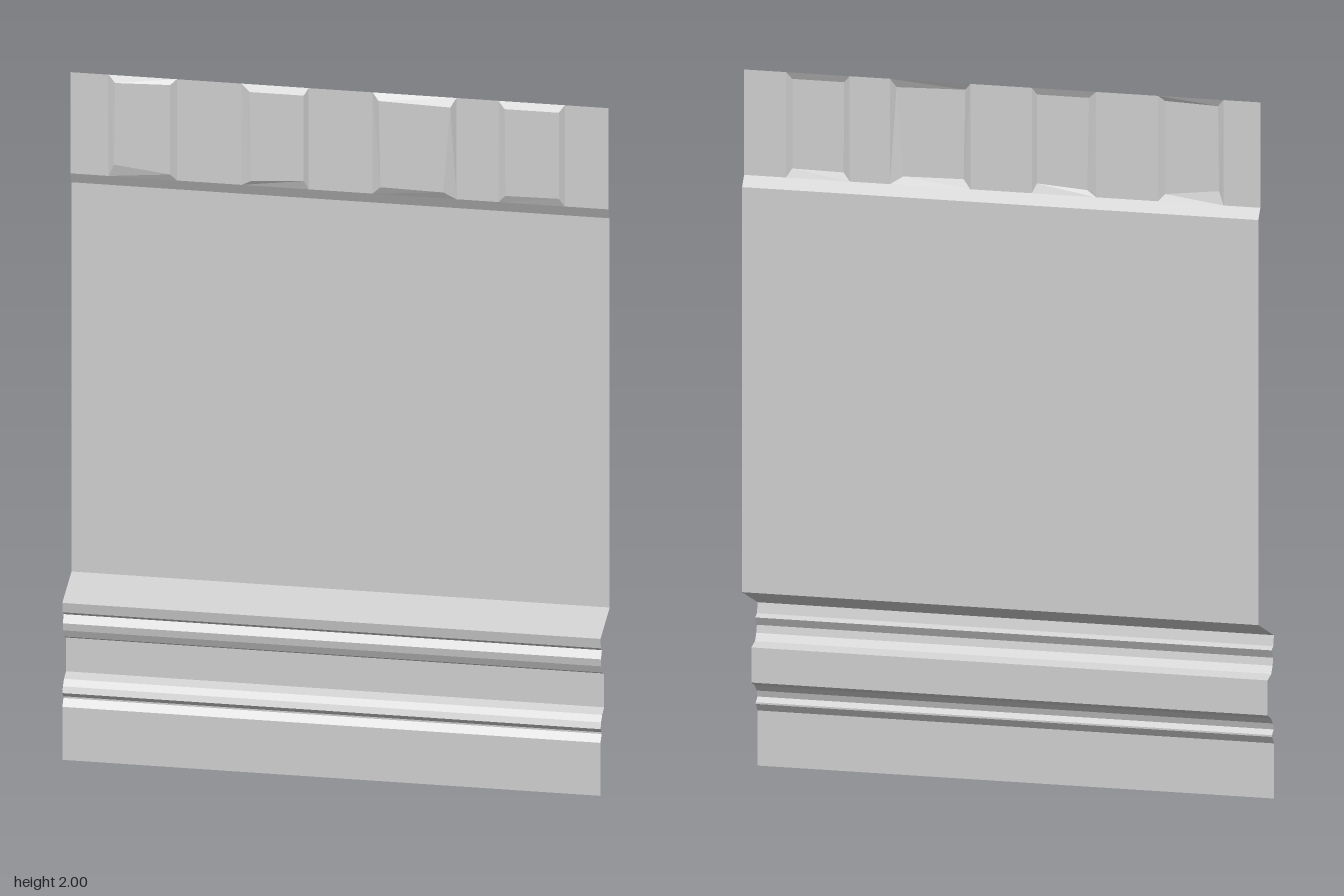
import * as THREE from 'three';

const HALF = 0.77;
const BAND_Z = -0.049, BAND_LOW = 1.7, TOP = 2;

// Open thin sheet, so both sides show
const material = new THREE.MeshStandardMaterial({
  color: 0xcccccc, flatShading: true, side: THREE.DoubleSide,
});

// Mesh from four-cornered faces, corners counter-clockwise from the front
function quadMesh(name, quads) {
  const positions = [];
  for (const [a, b, c, d] of quads) {
    for (const p of [a, b, c, a, c, d]) positions.push(...p);
  }
  const geometry = new THREE.BufferGeometry();
  geometry.setAttribute('position', new THREE.Float32BufferAttribute(positions, 3));
  geometry.computeVertexNormals();
  const mesh = new THREE.Mesh(geometry, material);
  mesh.name = name;
  return mesh;
}

// Sweep a [y, z] profile, listed upward, across the full width
function sweep(name, profile) {
  const quads = [];
  for (let i = 0; i + 1 < profile.length; i++) {
    const [y0, z0] = profile[i], [y1, z1] = profile[i + 1];
    quads.push([[-HALF, y0, z0], [HALF, y0, z0], [HALF, y1, z1], [-HALF, y1, z1]]);
  }
  return quadMesh(name, quads);
}

// Flat stretch of the top band between raised blocks
function bandQuad(x0, x1) {
  return [[x0, BAND_LOW, BAND_Z], [x1, BAND_LOW, BAND_Z], [x1, TOP, BAND_Z], [x0, TOP, BAND_Z]];
}

// Raised block: bevelled sides around a flat face, hollow behind
function block({ x0, x1, z, face }) {
  const outer = bandQuad(x0, x1);
  const inner = face.map(([x, y]) => [x, y, z]);
  const quads = [inner];
  for (let i = 0; i < 4; i++) {
    const j = (i + 1) % 4;
    quads.push([outer[i], outer[j], inner[j], inner[i]]);
  }
  return quadMesh('raisedBlock', quads);
}

export function createModel() {
  const group = new THREE.Group();
  group.name = 'wallPanel';

  // Base board and lower moulding
  group.add(sweep('baseMoulding', [
    [0, 0.062], [0.157, 0.062], [0.178, 0.046], [0.183, 0.046], [0.197, 0.06],
    [0.215, 0.054], [0.232, 0.038], [0.245, 0.01],
  ]));

  // Recessed strip between the mouldings
  group.add(sweep('recessedStrip', [[0.245, 0.01], [0.345, 0.01]]));

  // Upper moulding with its sloping ledge
  group.add(sweep('ledgeMoulding', [
    [0.345, 0.01], [0.358, 0.04], [0.38, 0.051], [0.402, 0.055], [0.425, 0.042],
    [0.435, 0.056], [0.465, 0.062], [0.515, -0.066],
  ]));

  // Plain wall and the splay under the top band
  group.add(sweep('wall', [[0.515, -0.066], [1.668, -0.066]]));
  group.add(sweep('bandSplay', [[1.668, -0.066], [BAND_LOW, BAND_Z]]));

  // Top band with four irregular raised blocks
  const blocks = [
    { x0: -0.66, x1: -0.465, z: -0.039, face: [[-0.643, 1.738], [-0.482, 1.72], [-0.482, 1.985], [-0.64, 1.98]] },
    { x0: -0.28, x1: -0.088, z: -0.039, face: [[-0.25, 1.717], [-0.1, 1.727], [-0.1, 1.98], [-0.255, 1.98]] },
    { x0: 0.095, x1: 0.335, z: -0.036, face: [[0.12, 1.725], [0.3, 1.722], [0.32, 1.975], [0.115, 1.98]] },
    { x0: 0.455, x1: 0.645, z: -0.039, face: [[0.477, 1.723], [0.63, 1.725], [0.63, 1.98], [0.475, 1.98]] },
  ];
  const flats = [];
  let x = -HALF;
  for (const b of blocks) {
    flats.push(bandQuad(x, b.x0));
    group.add(block(b));
    x = b.x1;
  }
  flats.push(bandQuad(x, HALF));
  group.add(quadMesh('topBand', flats));

  return group;
}
